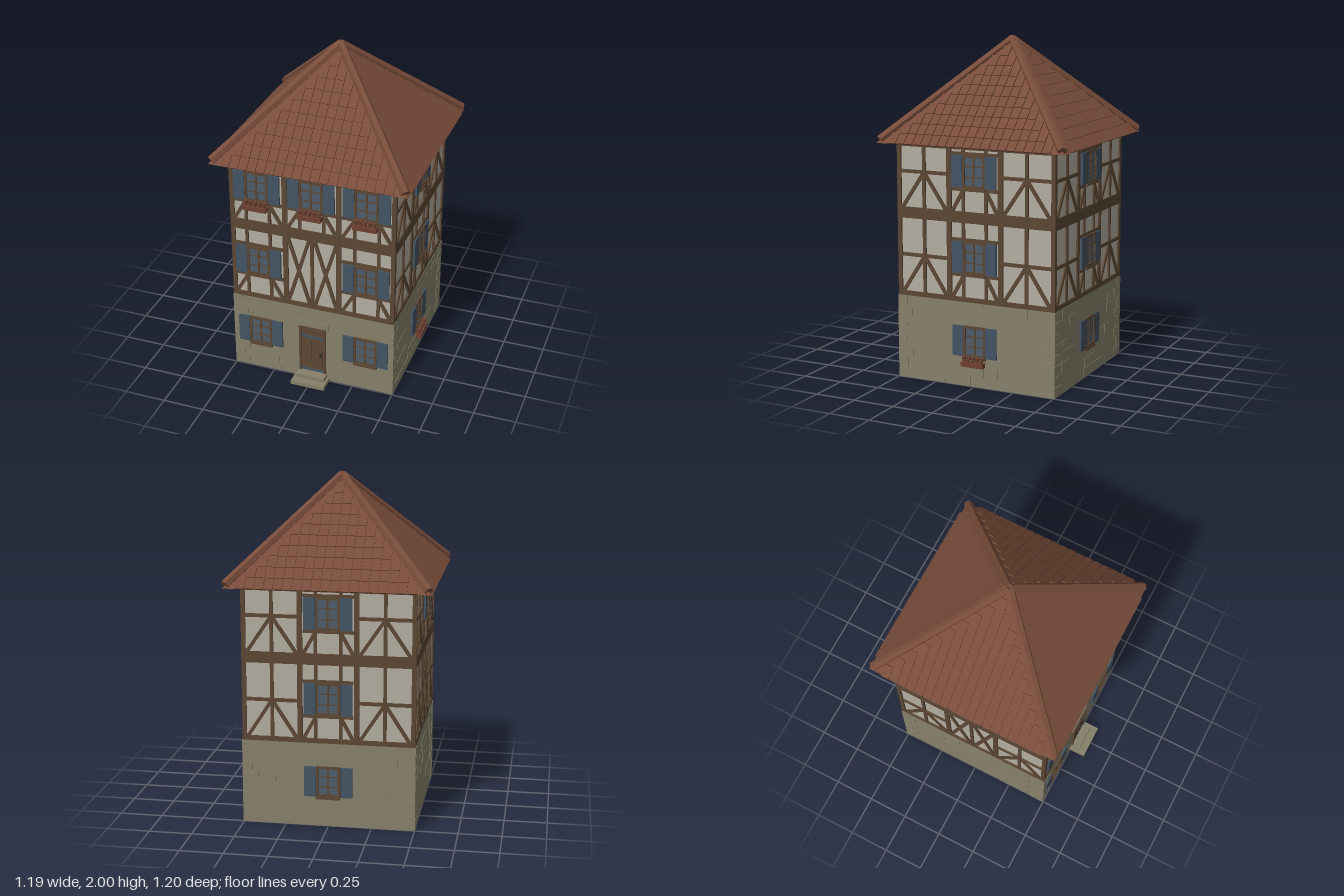
import * as THREE from 'three';
import { mergeGeometries } from 'three/addons/utils/BufferGeometryUtils.js';

const mat = (name, color, side = THREE.FrontSide) => {
  const m = new THREE.MeshStandardMaterial({ color, side });
  m.name = name;
  return m;
};

export function createModel() {
  const stone = mat('stone', 0x86806a);
  const plaster = mat('plaster', 0xb3ada0);
  const timber = mat('timber', 0x5b4733);
  const blue = mat('shutter blue', 0x435364);
  const glass = mat('window glass', 0x4d5b68);
  const tileRed = mat('roof tile', 0x784c3a, THREE.DoubleSide);
  const clay = mat('flower box clay', 0x6e4030);
  const iron = mat('iron', 0x2b2622);

  const house = new THREE.Group();
  house.name = 'timberFramedHouse';
  house.position.z = -0.005;

  let seed = 7;
  const rand = () => (seed = (seed * 16807) % 2147483647) / 2147483647;

  const box = (parent, name, m, w, h, d, x, y, z) => {
    const b = new THREE.Mesh(new THREE.BoxGeometry(w, h, d), m);
    b.name = name;
    b.position.set(x, y, z);
    parent.add(b);
    return b;
  };
  // timber between two points of a wall, its face flush with the wall front
  const beam = (g, x0, y0, x1, y1, w = 0.02) => {
    const len = Math.hypot(x1 - x0, y1 - y0);
    const b = box(g, 'timberBeam', timber, w, len, 0.02, (x0 + x1) / 2, (y0 + y1) / 2, 0.49);
    b.rotation.z = -Math.atan2(x1 - x0, y1 - y0);
  };

  // window with frame, glazing bars, open shutters and sill
  function windowUnit(g, x, y0, y1) {
    const w = new THREE.Group();
    w.name = 'window';
    w.position.set(x, 0, 0);
    g.add(w);
    const h = y1 - y0, yc = (y0 + y1) / 2;
    box(w, 'glass', glass, 0.13, h, 0.02, 0, yc, 0.493);
    for (const s of [-1, 1]) {
      box(w, 'frameSide', timber, 0.014, h, 0.02, s * 0.064, yc, 0.5);
      box(w, 'frameRail', timber, 0.14, 0.014, 0.02, 0, yc + s * (h / 2 - 0.005), 0.5);
      box(w, 'glazingBar', timber, 0.12, 0.007, 0.01, 0, yc + s * h * 0.17, 0.502);
      box(w, 'shutter', blue, 0.068, h, 0.014, s * 0.106, yc, 0.504);
    }
    box(w, 'mullion', timber, 0.011, h, 0.012, 0, yc, 0.502);
    box(w, 'sill', timber, 0.145, 0.012, 0.03, 0, y0 - 0.008, 0.5);
  }

  // clay box with a row of pots under a window
  function flowerBox(g, x, y) {
    const f = new THREE.Group();
    f.name = 'flowerBox';
    f.position.set(x, y, 0.528);
    g.add(f);
    box(f, 'trough', clay, 0.14, 0.028, 0.036, 0, 0.014, 0);
    for (let i = -2; i <= 2; i++) {
      const pot = new THREE.Mesh(new THREE.CylinderGeometry(0.013, 0.009, 0.03, 6), clay);
      pot.name = 'pot';
      pot.position.set(i * 0.028, 0.042, 0);
      f.add(pot);
    }
  }

  // short posts and braces above and below a window
  function windowBay(g, x, base, y0, y1, top, half) {
    for (const s of [-1, 1]) {
      beam(g, x + s * 0.072, base, x + s * 0.072, y0, 0.018);
      beam(g, x + s * 0.072, y1, x + s * 0.072, top, 0.018);
      beam(g, x + s * half, base, x + s * 0.075, y0 - 0.02, 0.02);
    }
    beam(g, x - half, y0 - 0.012, x + half, y0 - 0.012, 0.018);
    beam(g, x - half, y1 + 0.008, x + half, y1 + 0.008, 0.018);
    windowUnit(g, x, y0, y1);
  }
  // bay with a centre post, a rail and two feet braces
  function bracedBay(g, x, base, rail, top) {
    beam(g, x, base, x, top);
    beam(g, x - 0.16, rail, x + 0.16, rail);
    for (const s of [-1, 1]) beam(g, x, rail, x + s * 0.145, base, 0.02);
  }
  // tall bay with two crosses
  function crossBay(g, base, top) {
    beam(g, 0, base, 0, top);
    for (const s of [-1, 1]) {
      beam(g, s * 0.015, base, s * 0.15, top);
      beam(g, s * 0.15, base, s * 0.015, top);
    }
  }

  // coursed raised stones, keeping clear of the openings [x, halfWidth, y0, y1]
  function masonry(g, openings) {
    for (let r = 0; r < 8; r++) {
      const y = r * 0.0625;
      for (const s of [-1, 1]) {
        const q = r % 2 ? 0.06 : 0.095;
        box(g, 'quoin', stone, q, 0.058, 0.02, s * (0.503 - q / 2), y + 0.031, 0.493);
      }
      let x = -0.4;
      while (x < 0.32) {
        const w = Math.min(0.08 + rand() * 0.13, 0.4 - x);
        const clear = openings.every(([ox, hw, a, b]) =>
          x > ox + hw || x + w < ox - hw || y > b || y + 0.0625 < a);
        if (rand() < 0.33 && clear)
          box(g, 'raisedStone', stone, w - 0.004, 0.0585, 0.02, x + w / 2, y + 0.031, 0.4925);
        x += w;
      }
    }
  }

  // one wall, built facing +z: walling, main timbers and corner posts
  function wall(name, turn, openings) {
    const g = new THREE.Group();
    g.name = name;
    g.rotation.y = turn;
    house.add(g);
    box(g, 'stoneWall', stone, 1, 0.5, 0.03, 0, 0.25, 0.485);
    box(g, 'innerLining', timber, 0.95, 0.498, 0.01, 0, 0.2495, 0.466);
    box(g, 'plasterWall', plaster, 0.98, 0.9, 0.02, 0, 0.95, 0.48);
    beam(g, -0.5, 0.513, 0.5, 0.513, 0.027);
    beam(g, -0.5, 0.993, 0.5, 0.993, 0.065);
    beam(g, -0.5, 1.39, 0.5, 1.39, 0.02);
    for (const s of [-1, 1]) {
      beam(g, s * 0.4875, 0.5, s * 0.4875, 1.4, 0.025);
      beam(g, s * 0.163, 0.5, s * 0.163, 1.4, 0.03);
    }
    masonry(g, openings);
    return g;
  }
  const LOW = [0.52, 0.67, 0.855, 0.97], HIGH = [1.02, 1.165, 1.35, 1.39];
  const groundWindow = [0, 0.15, 0.16, 0.38];

  // front: windows either side of the door, three with flower boxes above
  const front = wall('frontWall', 0,
    [[-0.33, 0.15, 0.16, 0.38], [0.33, 0.15, 0.16, 0.38], [0, 0.12, 0, 0.42]]);
  for (const x of [-0.33, 0.33]) {
    windowUnit(front, x, 0.18, 0.36);
    windowBay(front, x, ...LOW, 0.148);
  }
  crossBay(front, 0.52, 0.97);
  for (const x of [-0.33, 0, 0.33]) {
    windowBay(front, x, ...HIGH, 0.148);
    flowerBox(front, x, 1.118);
  }

  // door and steps
  const door = new THREE.Group();
  door.name = 'door';
  front.add(door);
  box(door, 'doorLeaf', timber, 0.15, 0.31, 0.02, 0, 0.205, 0.493);
  for (const s of [-1, 1]) {
    box(door, 'doorJamb', timber, 0.014, 0.315, 0.022, s * 0.077, 0.207, 0.5);
    box(door, 'doorPanel', timber, 0.055, 0.19, 0.008, s * 0.033, 0.18, 0.503);
  }
  box(door, 'doorHead', timber, 0.168, 0.014, 0.022, 0, 0.358, 0.5);
  box(door, 'doorBar', blue, 0.14, 0.014, 0.008, 0, 0.298, 0.503);
  box(door, 'doorKick', blue, 0.14, 0.014, 0.008, 0, 0.06, 0.503);
  box(door, 'handle', iron, 0.01, 0.022, 0.016, 0.053, 0.18, 0.512);
  box(door, 'doorLintel', stone, 0.2, 0.04, 0.02, 0, 0.388, 0.495);
  box(front, 'upperStep', stone, 0.18, 0.05, 0.08, 0, 0.025, 0.52);
  box(front, 'lowerStep', stone, 0.21, 0.025, 0.125, 0, 0.0125, 0.5425);

  // left, back and right walls
  const left = wall('leftWall', Math.PI / 2, [groundWindow]);
  const back = wall('backWall', Math.PI, [groundWindow]);
  const right = wall('rightWall', -Math.PI / 2, []);
  for (const g of [left, back, right]) {
    for (const x of [-0.325, 0.325]) {
      bracedBay(g, x, 0.52, 0.745, 0.97);
      bracedBay(g, x, 1.02, 1.235, 1.39);
    }
    windowBay(g, 0, ...HIGH, 0.145);
    if (g === right) crossBay(g, 0.52, 0.97);
    else {
      windowBay(g, 0, ...LOW, 0.145);
      windowUnit(g, 0, 0.18, 0.36);
    }
  }
  flowerBox(left, 0, 0.128);

  // roof: plain pyramid, tile rows and hip caps
  const roof = new THREE.Group();
  roof.name = 'roof';
  house.add(roof);
  const R = 0.585, EAVE = 1.4;
  let cone = new THREE.ConeGeometry(R * Math.SQRT2, R, 4, 1, true).toNonIndexed();
  cone.rotateY(Math.PI / 4);
  cone.computeVertexNormals();
  const pyramid = new THREE.Mesh(cone, tileRed);
  pyramid.name = 'roofSlopes';
  pyramid.position.y = EAVE + R / 2;
  roof.add(pyramid);

  const tiles = [], pitch = 0.0535, rows = 10;
  for (let r = 0; r < rows; r++) {
    const t = R - (r + 0.5) * pitch;
    for (let c = -10; c <= 10; c++) {
      const x = c * pitch;
      if (Math.abs(x) + pitch / 2 > t - pitch / 2) continue;
      const tile = new THREE.BoxGeometry(pitch - 0.005, pitch * Math.SQRT2 + 0.004, 0.008);
      tile.rotateX(-Math.PI / 4 - 0.06);
      tile.translate(x, EAVE + R - t + 0.003, t + 0.003);
      tiles.push(tile);
    }
  }
  const slope = mergeGeometries(tiles);
  for (let i = 0; i < 4; i++) {
    const m = new THREE.Mesh(slope, tileRed);
    m.name = 'roofTiles';
    m.rotation.y = i * Math.PI / 2;
    roof.add(m);

    const a = Math.PI / 4 + i * Math.PI / 2;
    const sx = Math.sign(Math.cos(a)), sz = Math.sign(Math.sin(a));
    const low = new THREE.Vector3(sx * 0.57, EAVE + R - 0.567, sz * 0.57);
    const dir = new THREE.Vector3(0, 1.979, 0).sub(low);
    const len = dir.length();
    const geo = new THREE.CylinderGeometry(0.026, 0.028, len, 6).toNonIndexed();
    geo.computeVertexNormals();
    const hip = new THREE.Mesh(geo, tileRed);
    hip.name = 'hipCap';
    hip.quaternion.setFromUnitVectors(new THREE.Vector3(0, 1, 0), dir.clone().normalize());
    hip.position.copy(low).addScaledVector(dir, 0.5);
    roof.add(hip);
  }
  return house;
}
